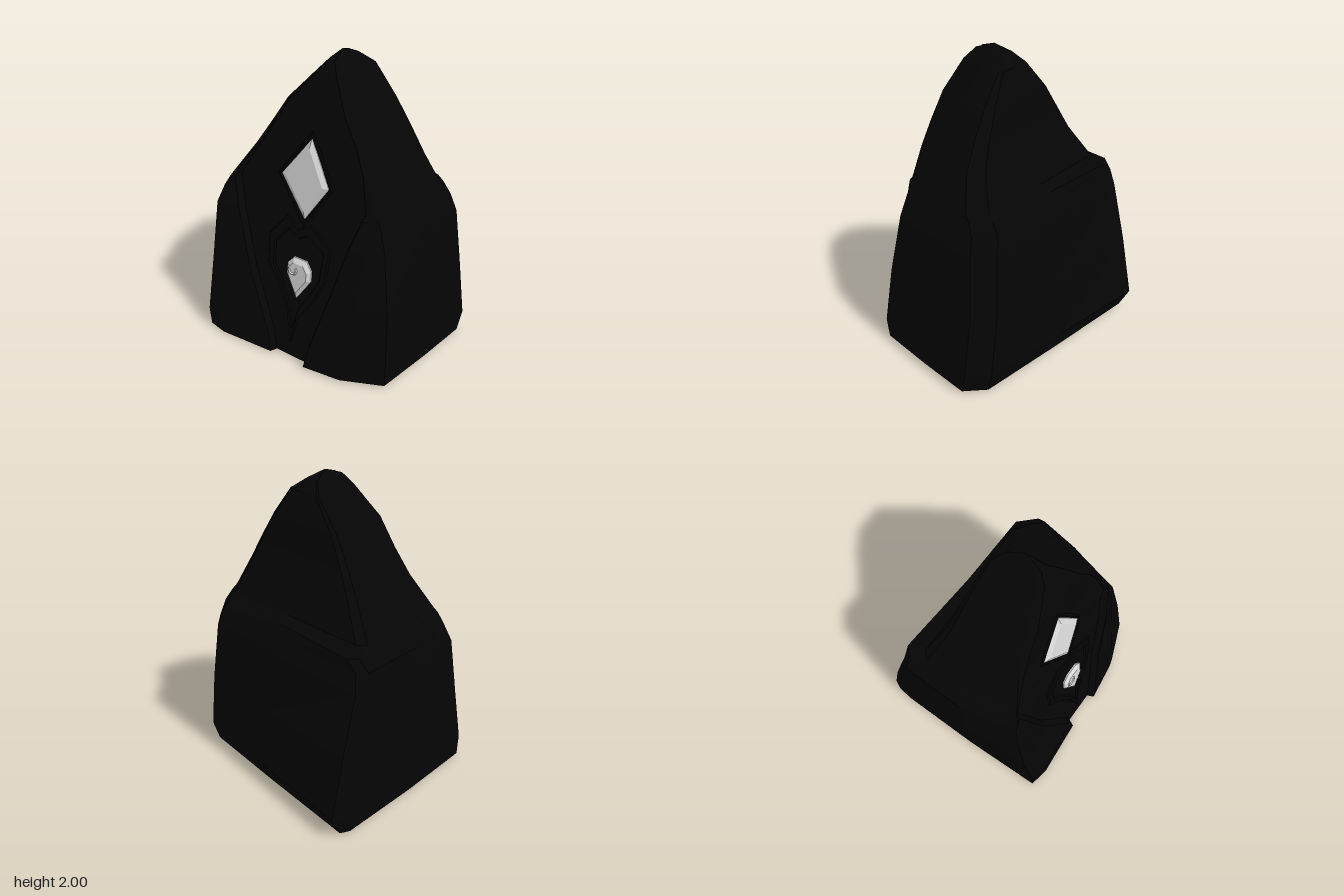
import * as THREE from 'three';

const black = new THREE.MeshStandardMaterial({ name: 'black stone', color: 0x050505, flatShading: true });
const pale = new THREE.MeshStandardMaterial({ name: 'pale gem', color: 0xd8d8d8, flatShading: true });

// Cross-sections: y, front corner -x (x, z), flap edges (-x, +x), front corner +x (x, z),
// front panel z, side extents (-x, +x), back z (-x, +x)
const levels = [
  [0.01, -0.71, 0.6, -0.19, 0.08, 0.61, 0.44, 0.55, -0.73, 0.72, -0.56, -0.43],
  [0.15, -0.71, 0.61, -0.22, 0.11, 0.62, 0.45, 0.53, -0.735, 0.735, -0.635, -0.47],
  [0.55, -0.71, 0.52, -0.42, 0.22, 0.59, 0.4, 0.445, -0.735, 0.68, -0.55, -0.47],
  [0.94, -0.69, 0.46, -0.53, 0.33, 0.53, 0.35, 0.39, -0.732, 0.64, -0.45, -0.44],
  [1.06, -0.65, 0.42, -0.57, 0.37, 0.49, 0.33, 0.355, -0.73, 0.6, -0.425, -0.415],
  [1.13, -0.61, 0.405, -0.58, 0.39, 0.46, 0.32, 0.347, -0.665, 0.575, -0.435, -0.365],
  [1.16, -0.595, 0.385, -0.56, 0.4, 0.45, 0.315, 0.343, -0.63, 0.565, -0.32, -0.33],
  [1.37, -0.46, 0.3, -0.43, 0.35, 0.39, 0.265, 0.3, -0.48, 0.475, -0.245, -0.245],
  [1.52, -0.37, 0.255, -0.34, 0.29, 0.32, 0.23, 0.275, -0.39, 0.395, -0.215, -0.215],
  [1.7, -0.26, 0.22, -0.23, 0.19, 0.22, 0.2, 0.255, -0.275, 0.285, -0.185, -0.185],
  [1.89, -0.09, 0.16, -0.07, 0.08, 0.1, 0.15, 0.18, -0.105, 0.14, -0.15, -0.15],
  [1.96, -0.035, 0.1, -0.025, 0.025, 0.035, 0.09, 0.125, -0.04, 0.05, -0.085, -0.08],
];

// Corners of one cross-section, running along the front, then the +x side, back and -x side
function ring([y, ax, az, fl, fr, bx, bz, zm, l, r, kz, iz]) {
  const rim = y < 1.15 ? 0.045 : 0.015;
  const step = y < 1.15 ? 0.02 : 0.005;
  const chamfer = (r - l) * 0.08;
  const pinch = y > 1 ? 0.5 : 0.25;
  return [
    [ax, az],
    [ax + (fl - ax) * 0.25, az + (zm + rim - az) * 0.25 + (fl - ax) * 0.05],
    [fl, zm + rim], [fl + step, zm], [(fl + fr) / 2, zm], [fr - step, zm], [fr, zm + rim],
    [(fr + bx) / 2, (zm + rim + bz) / 2 + (bx - fr) * 0.08],
    [bx, bz],
    [r - chamfer * 0.4, bz * 0.1],
    [r, iz + chamfer], [r - chamfer, iz],
    [(l + r) / 2, (iz + kz) / 2],
    [l + chamfer * pinch, kz], [l, kz + chamfer * 0.5],
    [l, az * 0.1],
  ].map(([x, z]) => [x, y, z]);
}

// Depth of the recessed front panel at height y
function panelZ(y) {
  const i = levels.findIndex((level) => y <= level[0]);
  const a = levels[i - 1], b = levels[i];
  return THREE.MathUtils.lerp(a[7], b[7], (y - a[0]) / (b[0] - a[0]));
}

function hoodBody() {
  const rings = levels.map(ring);
  const n = rings[0].length;
  const pos = [];
  const tri = (a, b, c) => pos.push(...a, ...b, ...c);
  for (let k = 0; k < rings.length; k++) {
    for (let i = 0; i < n; i++) {
      const j = (i + 1) % n;
      const lo = rings[k], hi = rings[k + 1];
      if (hi) {
        tri(lo[i], lo[j], hi[j]);
        tri(lo[i], hi[j], hi[i]);
      } else {
        tri(lo[i], lo[j], [0, 2, 0.02]);
      }
    }
  }
  // Flat underside
  for (let i = 0; i < n; i++) tri(rings[0][(i + 1) % n], rings[0][i], [0, 0, 0]);
  const g = new THREE.BufferGeometry();
  g.setAttribute('position', new THREE.Float32BufferAttribute(pos, 3));
  g.computeVertexNormals();
  return g;
}

// Shrink an outline around a centre
const inset = (pts, c, s) => pts.map(([x, y]) => [c[0] + (x - c[0]) * s, c[1] + (y - c[1]) * s]);
const toVectors = (pts) => pts.map(([x, y]) => new THREE.Vector2(x, y));

// Faceted gem: outline, bevel and front face, leaning back with the panel (outline counter-clockwise)
function gem(name, pts, c, scale, z, height, lean) {
  const at = (p, h) => [p[0], p[1], z + h - lean * (p[1] - c[1])];
  const inner = inset(pts, c, scale);
  const pos = [];
  pts.forEach((p, i) => {
    const j = (i + 1) % pts.length;
    const a = at(p, 0), b = at(pts[j], 0), d = at(inner[j], height), e = at(inner[i], height);
    const aBack = at(p, -0.04), bBack = at(pts[j], -0.04);
    pos.push(...a, ...b, ...d, ...a, ...d, ...e, ...e, ...d, ...at(c, height));
    pos.push(...aBack, ...bBack, ...b, ...aBack, ...b, ...a);
  });
  const g = new THREE.BufferGeometry();
  g.setAttribute('position', new THREE.Float32BufferAttribute(pos, 3));
  g.computeVertexNormals();
  const m = new THREE.Mesh(g, pale);
  m.name = name;
  return m;
}

// Raised frame that follows the front panel
function frame(name, pts, c, scale, depth) {
  const shape = new THREE.Shape(toVectors(pts));
  shape.holes.push(new THREE.Path(toVectors(inset(pts, c, scale))));
  const g = new THREE.ExtrudeGeometry(shape, {
    depth, bevelEnabled: true, bevelSize: 0.01, bevelThickness: 0.01, bevelOffset: -0.01, bevelSegments: 1,
  });
  const p = g.attributes.position;
  for (let i = 0; i < p.count; i++) p.setZ(i, p.getZ(i) + panelZ(p.getY(i)) - 0.01);
  g.computeVertexNormals();
  const m = new THREE.Mesh(g, black);
  m.name = name;
  return m;
}

export function createModel() {
  const group = new THREE.Group();
  group.name = 'hoodedStone';

  const body = new THREE.Mesh(hoodBody(), black);
  body.name = 'hoodBody';
  group.add(body);

  // Upper diamond gem and its setting
  const dc = [-0.055, 1.25];
  const diamond = [[-0.04, 0.99], [0.115, 1.23], [-0.04, 1.505], [-0.24, 1.235]];
  group.add(gem('diamondGem', diamond, dc, 0.78, 0.328, 0.018, 0.19));
  group.add(frame('diamondSetting', inset(diamond, dc, 1.2), dc, 0.84, 0.008));

  // Lower drop gem with a small curled carving
  const tc = [-0.05, 0.61];
  const drop = [[-0.055, 0.43], [0.05, 0.59], [0.05, 0.66], [0.01, 0.72], [-0.09, 0.72], [-0.135, 0.67], [-0.14, 0.59]];
  group.add(gem('dropGem', drop, tc, 0.74, 0.445, 0.02, 0.13));
  const curl = new THREE.Mesh(new THREE.TorusGeometry(0.03, 0.01, 4, 6, Math.PI * 1.2), pale);
  curl.name = 'gemCurl';
  curl.position.set(-0.083, 0.64, 0.459);
  curl.rotation.set(-0.13, 0, Math.PI);
  group.add(curl);

  // Heart-shaped carved border around the lower gem
  const heart = [
    [-0.06, 0.1], [-0.02, 0.3], [0.08, 0.45], [0.16, 0.63], [0.18, 0.87], [0.02, 0.97],
    [-0.07, 0.92], [-0.17, 0.98], [-0.3, 0.82], [-0.3, 0.61], [-0.2, 0.48], [-0.12, 0.32],
  ];
  group.add(frame('heartBorder', heart, [-0.06, 0.62], 0.76, 0.01));

  return group;
}
